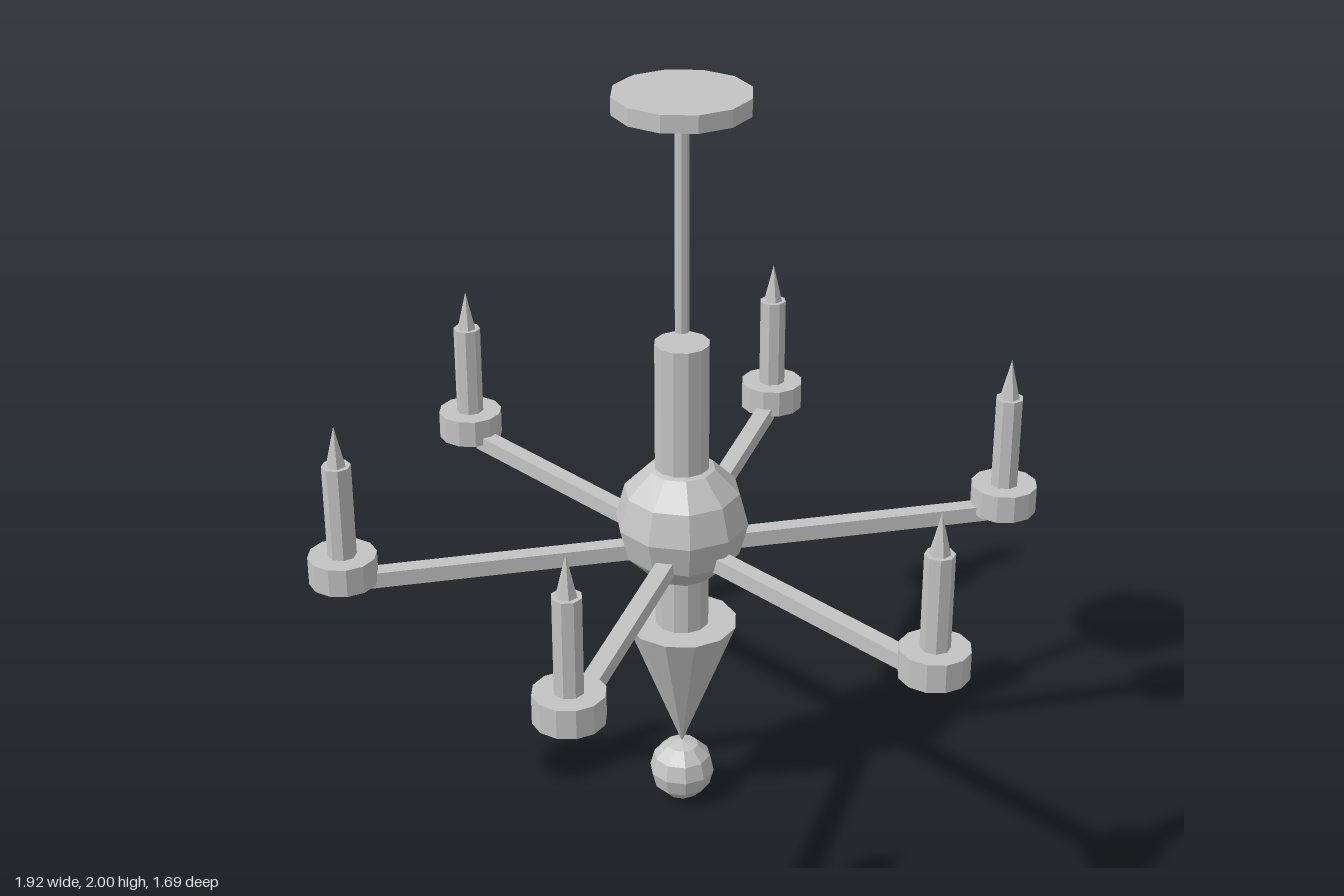
import * as THREE from 'three';

export function createModel() {
  const metal = new THREE.MeshStandardMaterial({ color: 0xc4c4c4 });
  metal.name = 'plain grey';
  metal.flatShading = true;

  const model = new THREE.Group();
  model.name = 'chandelier';

  const add = (parent, name, geometry, x, y) => {
    const mesh = new THREE.Mesh(geometry, metal);
    mesh.name = name;
    mesh.position.set(x, y, 0);
    parent.add(mesh);
    return mesh;
  };
  // Upright cylinder or cone given by its bottom and top heights
  const turned = (parent, name, rTop, rBottom, y0, y1, sides, x = 0) =>
    add(parent, name, new THREE.CylinderGeometry(rTop, rBottom, y1 - y0, sides), x, (y0 + y1) / 2);

  // Ceiling plate and hanging rod
  turned(model, 'ceilingPlate', 0.174, 0.174, 1.955, 2, 12);
  turned(model, 'hangingRod', 0.018, 0.018, 1.38, 1.955, 8);

  // Central column with its globe, pointed drop and ball finial
  turned(model, 'column', 0.071, 0.071, 0.55, 1.35, 12);
  add(model, 'globe', new THREE.SphereGeometry(0.174, 10, 6), 0, 0.852);
  const drop = add(model, 'pointedDrop', new THREE.ConeGeometry(0.146, 0.38, 12), 0, 0.36);
  drop.rotation.x = Math.PI;
  add(model, 'ballFinial', new THREE.SphereGeometry(0.0875, 10, 6), 0, 0.0875);

  // Six arms, each carrying a cup, candle and flame
  for (let i = 0; i < 6; i++) {
    const branch = new THREE.Group();
    branch.name = `branch${i + 1}`;
    branch.rotation.y = (i * Math.PI) / 3;
    add(branch, 'arm', new THREE.BoxGeometry(0.775, 0.042, 0.044), 0.4375, 0.78);
    turned(branch, 'cup', 0.0875, 0.0875, 0.78, 0.855, 12, 0.875);
    turned(branch, 'candle', 0.037, 0.037, 0.855, 1.105, 8, 0.875);
    add(branch, 'flame', new THREE.ConeGeometry(0.026, 0.107, 6), 0.875, 1.1585);
    model.add(branch);
  }
  return model;
}
